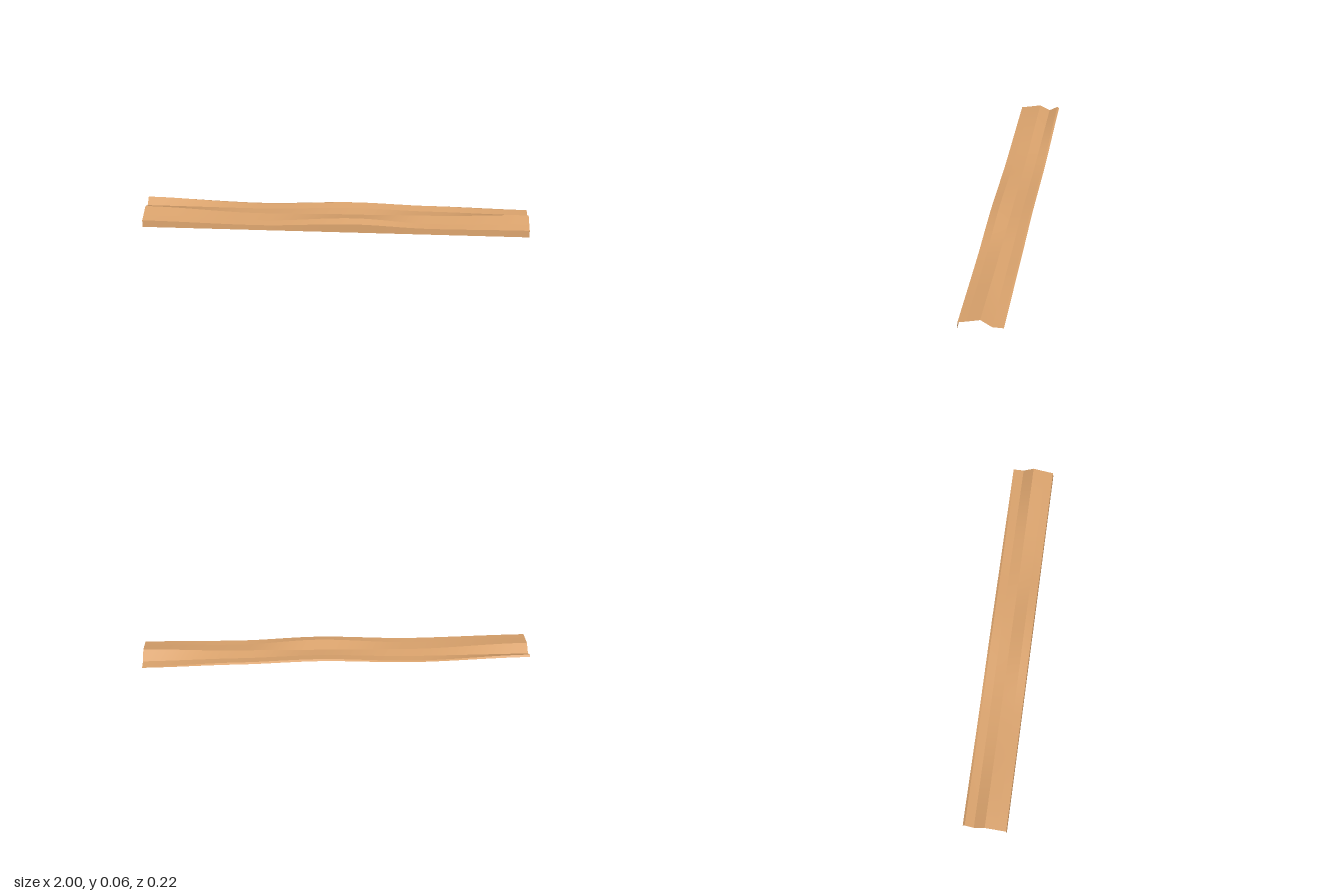
import * as THREE from 'three';

// depth of each lengthwise crease, front to back
const DEPTHS = [0.107, 0.065, 0, -0.055, -0.1, -0.11];

// crease heights at stations along the length: [x, heights]
const STATIONS = [
  [-1, [0.038, 0.046, 0.06, 0.032, 0.058, 0.05]],
  [-0.4, [0.028, 0.031, 0.035, 0.03, 0.034, 0.032]],
  [0.1, [0.048, 0.059, 0.042, 0.048, 0.056, 0.05]],
  [0.5, [0.033, 0.037, 0.047, 0.038, 0.045, 0.039]],
  [1, [0.038, 0.048, 0.065, 0.03, 0.03, 0.03]],
];

// height of crease i at x, easing between stations
function creaseHeight(i, x) {
  let k = 0;
  while (k < STATIONS.length - 2 && x > STATIONS[k + 1][0]) k++;
  const [x0, a] = STATIONS[k];
  const [x1, b] = STATIONS[k + 1];
  return THREE.MathUtils.lerp(a[i], b[i], THREE.MathUtils.smoothstep(x, x0, x1));
}

const crease = (i) => (x) => [creaseHeight(i, x), DEPTHS[i]];

// ruled strip between two lengthwise edges, each giving [y, z] at x
function strip(front, back, segments = 64) {
  const geometry = new THREE.PlaneGeometry(2, 1, segments, 1);
  const p = geometry.attributes.position;
  for (let n = 0; n < p.count; n++) {
    const x = p.getX(n);
    const [y, z] = (p.getY(n) > 0 ? back : front)(x);
    p.setXYZ(n, x, y, z);
  }
  geometry.computeVertexNormals();
  return geometry;
}

export function createModel() {
  const group = new THREE.Group();
  group.name = 'warpedPlank';
  const wood = new THREE.MeshStandardMaterial({ color: 0xd9a26c, side: THREE.DoubleSide });

  function add(name, geometry) {
    const mesh = new THREE.Mesh(geometry, wood);
    mesh.name = name;
    group.add(mesh);
  }

  // front lip hanging down to the ground
  add('frontLip', strip(() => [0, 0.11], crease(0)));

  // rippled top, one smooth strip between each pair of creases
  for (let i = 0; i < DEPTHS.length - 1; i++) {
    add(`topStrip${i + 1}`, strip(crease(i), crease(i + 1)));
  }
  return group;
}
